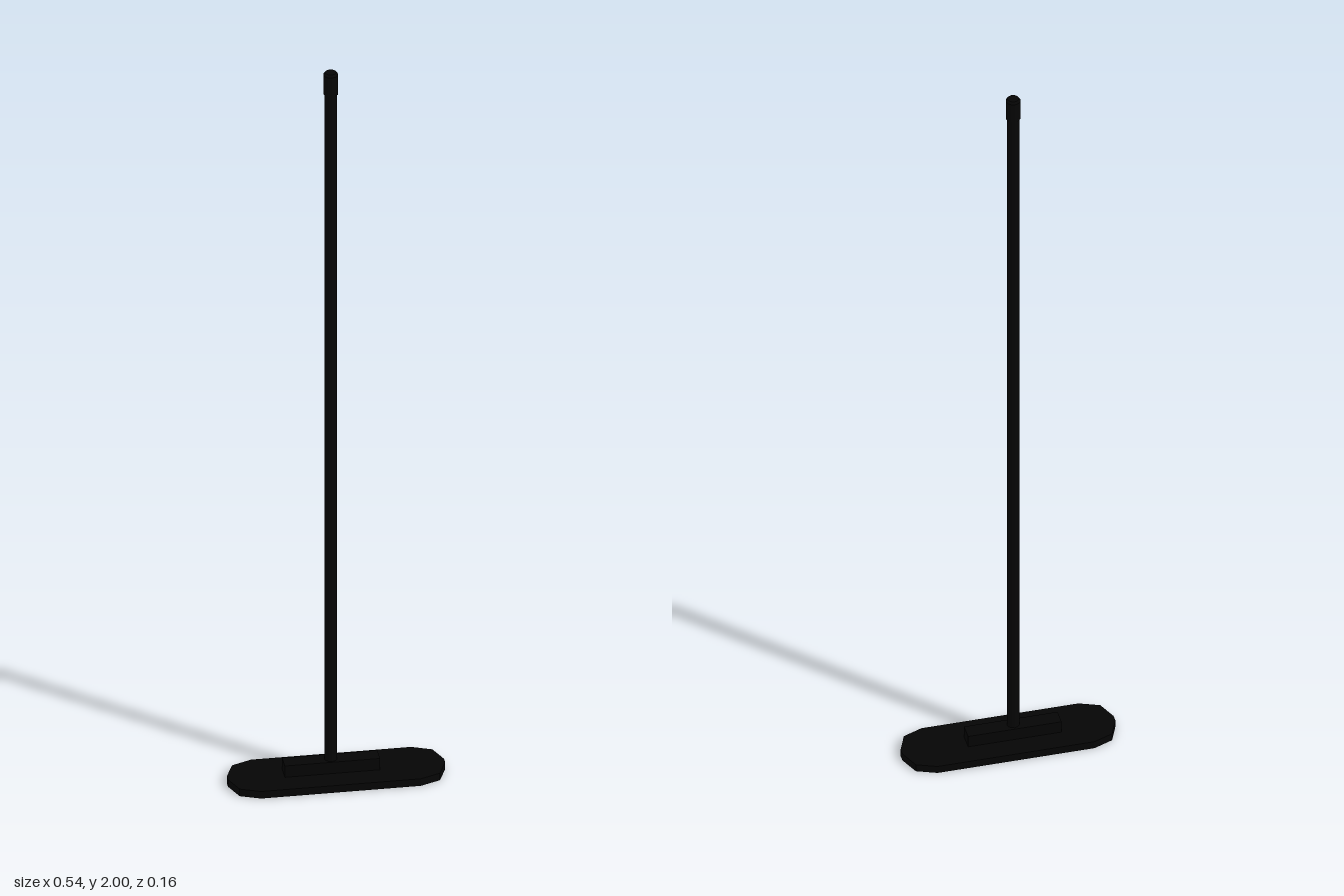
import * as THREE from 'three';

export function createModel() {
  const model = new THREE.Group();
  const material = new THREE.MeshStandardMaterial({ color: 0x050505, flatShading: true });
  const poleX = -0.013, poleZ = -0.001;

  const add = (name, geometry, x, y, z) => {
    const mesh = new THREE.Mesh(geometry, material);
    mesh.name = name;
    mesh.position.set(x, y, z);
    model.add(mesh);
  };

  // Flat sweeping head: long plate with faceted round ends
  const corner = [[0.27, 0.009], [0.249, 0.059], [0.199, 0.079]];
  const back = [...corner].reverse();
  const outline = [
    ...corner,
    ...back.map(([x, y]) => [-x, y]),
    ...corner.map(([x, y]) => [-x, -y]),
    ...back.map(([x, y]) => [x, -y]),
  ].map(([x, y]) => new THREE.Vector2(x, y));
  const plate = new THREE.ExtrudeGeometry(new THREE.Shape(outline), { depth: 0.02, bevelEnabled: false });
  plate.rotateX(-Math.PI / 2);
  add('headPlate', plate, 0, 0, -0.001);

  // Mounting block on top of the plate
  add('mountingBlock', new THREE.BoxGeometry(0.237, 0.032, 0.041), -0.012, 0.036, -0.002);

  // Long handle
  add('handle', new THREE.CylinderGeometry(0.016, 0.016, 1.92, 12), poleX, 1.0, poleZ);

  // End cap with a softened top rim
  const capProfile = [[0, -0.06], [0.0185, -0.06], [0.0185, -0.006], [0.014, 0], [0, 0]]
    .map(([r, y]) => new THREE.Vector2(r, y));
  add('endCap', new THREE.LatheGeometry(capProfile, 12), poleX, 2.0, poleZ);

  return model;
}
